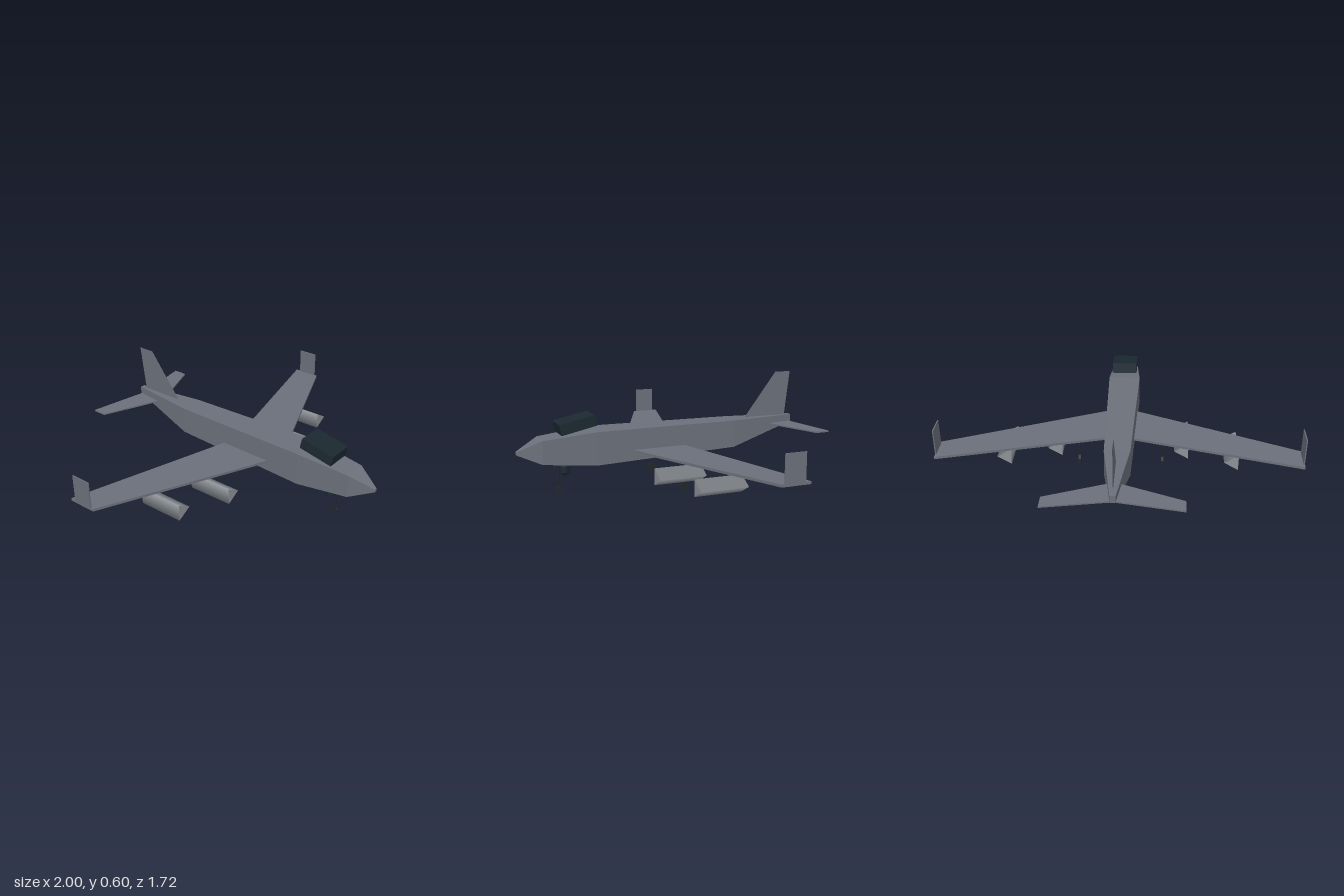
import * as THREE from 'three';

const material = (name, color) => {
  const m = new THREE.MeshStandardMaterial({ color });
  m.name = name;
  return m;
};

// One normal per face for a faceted look
const faceted = (geometry) => {
  const g = geometry.index ? geometry.toNonIndexed() : geometry;
  g.computeVertexNormals();
  return g;
};

// Box-section hull from rings of [z, halfWidth, bottom, top], nose first
function loft(sections) {
  const pos = [], index = [];
  for (const [z, w, b, t] of sections) pos.push(-w, b, z, w, b, z, w, t, z, -w, t, z);
  for (let i = 0; i < sections.length - 1; i++) {
    for (let j = 0; j < 4; j++) {
      const a = i * 4 + j, b = i * 4 + (j + 1) % 4, c = b + 4, d = a + 4;
      index.push(a, d, c, a, c, b);
    }
  }
  const e = (sections.length - 1) * 4;
  index.push(0, 1, 2, 0, 2, 3, e, e + 2, e + 1, e, e + 3, e + 2);
  const g = new THREE.BufferGeometry();
  g.setAttribute('position', new THREE.Float32BufferAttribute(pos, 3));
  g.setIndex(index);
  return faceted(g);
}

// Flat horizontal plate from [x, z] corners, mirrored by side
function plate(corners, side, thickness) {
  const shape = new THREE.Shape(corners.map(([x, z]) => new THREE.Vector2(x * side, -z)));
  return new THREE.ExtrudeGeometry(shape, { depth: thickness, bevelEnabled: false }).rotateX(-Math.PI / 2);
}

export function createModel() {
  const model = new THREE.Group();
  model.name = 'airplane';
  const hullGray = material('hull gray', 0x6b707a);
  const finGray = material('fin gray', 0x6b707a);
  finGray.side = THREE.DoubleSide;
  const engineGray = material('engine gray', 0x8c9197);
  const glass = material('dark glass', 0x1b2830);
  const rubber = material('gear black', 0x22272b);

  const add = (name, geometry, mat, x = 0, y = 0, z = 0) => {
    const mesh = new THREE.Mesh(geometry, mat);
    mesh.name = name;
    mesh.position.set(x, y, z);
    model.add(mesh);
    return mesh;
  };

  add('fuselage', loft([
    [0.86, 0.008, 0.242, 0.258],
    [0.73, 0.066, 0.19, 0.32],
    [0.43, 0.092, 0.165, 0.35],
    [-0.4, 0.07, 0.19, 0.346],
    [-0.805, 0.015, 0.303, 0.345],
  ]), hullGray);

  // Raised, forward-tilted cockpit block and chin turret
  add('cockpit', new THREE.BoxGeometry(0.145, 0.06, 0.2), glass, 0, 0.39, 0.534).rotation.x = 0.21;
  add('chinTurret', faceted(new THREE.SphereGeometry(0.036, 6, 3)), glass, 0, 0.139, 0.595);

  // Tail fin is a single sheet
  const fin = new THREE.Shape([[0.5, 0.34], [0.77, 0.34], [0.802, 0.605], [0.703, 0.605]]
    .map(([x, y]) => new THREE.Vector2(x, y)));
  add('tailFin', new THREE.ShapeGeometry(fin).rotateY(Math.PI / 2), finGray);

  const wing = [[0.06, 0.237], [1, -0.175], [1, -0.335], [0.06, -0.08]];
  const stabilizer = [[0.01, -0.637], [0.355, -0.775], [0.355, -0.856], [0.01, -0.795]];

  const addGear = (name, x, z, radius) => {
    add(name + 'Strut', new THREE.CylinderGeometry(0.004, 0.004, 0.13 - radius, 6), rubber,
      x, (0.13 + radius) / 2, z);
    const wheel = new THREE.CylinderGeometry(radius, radius, 0.014, 6).rotateZ(Math.PI / 2);
    wheel.rotateX(Math.PI / 2);
    add(name + 'Wheel', faceted(wheel), rubber, x, radius + 0.003, z);
  };
  addGear('noseGear', 0, 0.628, 0.022);

  for (const side of [1, -1]) {
    const label = side > 0 ? 'left' : 'right';
    add(label + 'Wing', plate(wing, side, 0.014), hullGray, 0, 0.217, 0);
    add(label + 'Stabilizer', plate(stabilizer, side, 0.008), hullGray, 0, 0.298, 0);
    add(label + 'Winglet', new THREE.BoxGeometry(0.006, 0.158, 0.115), hullGray, side * 0.997, 0.3, -0.248);
    // Three-sided engine pods, each with a ridge towards +x
    for (const [part, x, z] of [['InnerEngine', 0.36, 0.067], ['OuterEngine', 0.637, -0.037]]) {
      const pod = new THREE.CylinderGeometry(0.053, 0.053, 0.265, 3, 1, false, Math.PI / 2);
      add(label + part, pod.rotateX(Math.PI / 2), engineGray, side * x, 0.139, z);
    }
    addGear(label + 'MainGear', side * 0.24, -0.005, 0.03);
  }
  return model;
}
